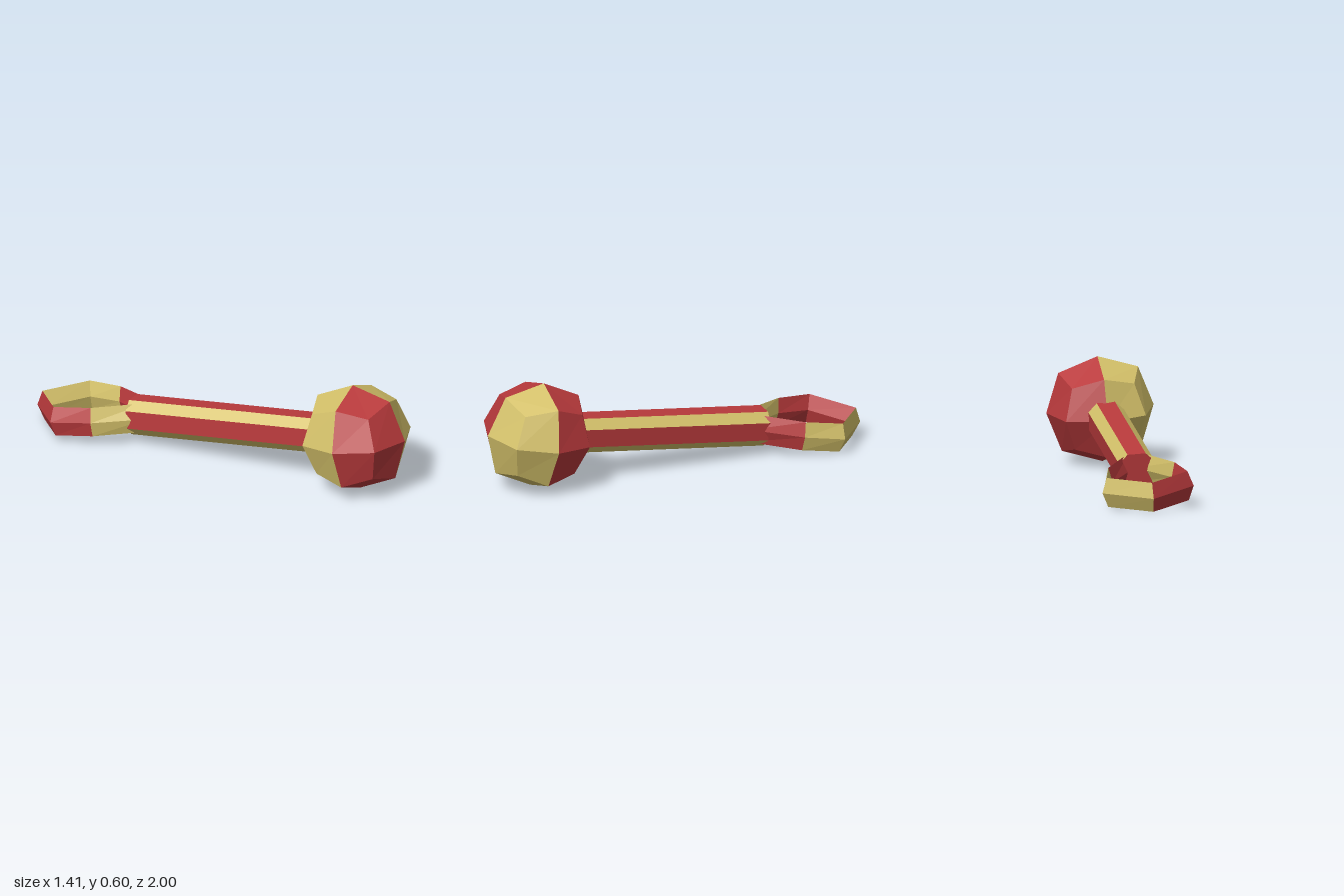
import * as THREE from 'three';

const red = new THREE.MeshStandardMaterial({ color: 0xb93a3c });
red.name = 'red';
const yellow = new THREE.MeshStandardMaterial({ color: 0xd3c069 });
yellow.name = 'yellow';

// Flat-shaded geometry from four-cornered faces
function quads(list) {
  const pos = [];
  for (const [a, b, c, d] of list) pos.push(...a, ...b, ...c, ...a, ...c, ...d);
  const g = new THREE.BufferGeometry();
  g.setAttribute('position', new THREE.Float32BufferAttribute(pos, 3));
  g.computeVertexNormals();
  return g;
}

// Side faces between two matching cross-sections
function bridge(from, to) {
  return from.map((p, i) => {
    const j = (i + 1) % from.length;
    return [p, to[i], to[j], from[j]];
  });
}

function part(parent, name, faces, material) {
  const mesh = new THREE.Mesh(quads(faces), material);
  mesh.name = name;
  parent.add(mesh);
}

// Ball: subdivided cube pushed out to a sphere, coloured in four quarters
function createBall() {
  const g = new THREE.BoxGeometry(2, 2, 2, 2, 2, 2).toNonIndexed();
  g.clearGroups();
  const p = g.attributes.position;
  const reach = [0, 0.3, 0.223, 0.174];
  for (let i = 0; i < p.count; i++) {
    const v = [p.getX(i), p.getY(i), p.getZ(i)].map(Math.round);
    const s = reach[v.filter((c) => c !== 0).length];
    p.setXYZ(i, v[0] * s, v[1] * s, v[2] * s);
  }
  for (let i = 0; i < p.count; i += 3) {
    const x = p.getX(i) + p.getX(i + 1) + p.getX(i + 2);
    const z = p.getZ(i) + p.getZ(i + 1) + p.getZ(i + 2);
    g.addGroup(i, 3, x * z > 0 ? 1 : 0);
  }
  g.computeVertexNormals();
  const ball = new THREE.Mesh(g, [red, yellow]);
  ball.name = 'ball';
  return ball;
}

// Handle: eight-sided bar with alternating strips
function createHandle() {
  const handle = new THREE.Group();
  handle.name = 'handle';
  const a = 0.1, b = 0.051;
  const outline = [[a, -b], [a, b], [b, a], [-b, a], [-a, b], [-a, -b], [-b, -a], [b, -a]];
  const near = outline.map(([x, y]) => [x, y, -0.2]);
  const far = outline.map(([x, y]) => [x, y, -1.375]);
  const sides = bridge(near, far);
  part(handle, 'flatStrips', sides.filter((_, i) => i % 2 === 0), red);
  part(handle, 'bevelStrips', sides.filter((_, i) => i % 2 === 1), yellow);
  const cap = [1, 3, 5].map((i) => [far[0], far[i + 2], far[i + 1], far[i]]);
  part(handle, 'endCap', cap, red);
  return handle;
}

// Loop: pointed ring with a diamond cross-section
function createLoop() {
  const loop = new THREE.Group();
  loop.name = 'gripLoop';
  const h = 0.083;
  // outer x, outer z, inner x, inner z
  const half = [
    [0.06, -1.27, 0, -1.29],
    [0.205, -1.545, 0.165, -1.55],
    [0.255, -1.768, 0.195, -1.745],
    [0, -1.975, 0, -1.9],
  ];
  const mirrored = half.slice(0, 3).reverse().map(([x, z, u, w]) => [-x, z, -u, w]);
  const sections = [...half, ...mirrored].map(([x, z, u, w]) => [
    [x, 0, z],
    [(x + u) / 2, h, (z + w) / 2],
    [u, 0, w],
    [(x + u) / 2, -h, (z + w) / 2],
  ]);
  const colours = [red, yellow, yellow, red, red, yellow];
  colours.forEach((m, i) => part(loop, 'loopSegment' + (i + 1), bridge(sections[i], sections[i + 1]), m));
  return loop;
}

export function createModel() {
  const model = new THREE.Group();
  model.name = 'rattle';
  const body = new THREE.Group();
  body.name = 'rattleBody';
  body.add(createBall(), createHandle(), createLoop());
  // Turned and resting on the ball and the loop tip
  body.rotation.set(-0.127, Math.PI / 6, 0);
  body.position.set(0.4, 0.307, 0.692);
  model.add(body);
  return model;
}
